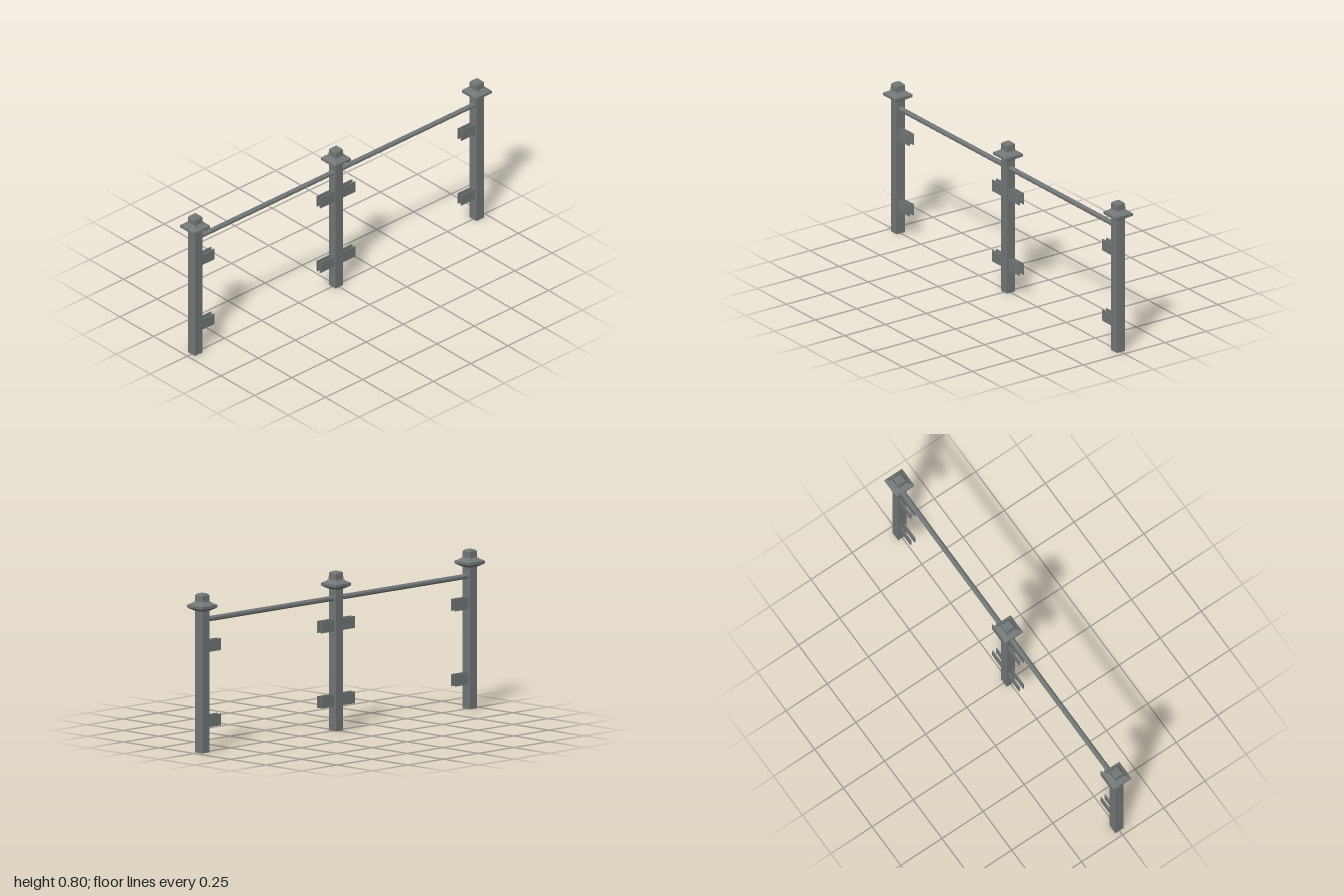
import * as THREE from 'three';

const SPACING = 0.947;

// Flat-faced version of a geometry
function faceted(geometry) {
  const g = geometry.toNonIndexed();
  g.computeVertexNormals();
  return g;
}

// Square turned profile: points are [half width, height], bottom to top
function squareLathe(profile) {
  const points = profile.map(([w, y]) => new THREE.Vector2(w * Math.SQRT2, y));
  return faceted(new THREE.LatheGeometry(points, 4).rotateY(Math.PI / 4));
}

export function createModel() {
  const model = new THREE.Group();
  model.name = 'fenceFrame';
  const metal = new THREE.MeshStandardMaterial({ color: 0x727777 });
  metal.name = 'grey metal';

  function add(parent, name, geometry, x = 0, y = 0, z = 0) {
    const mesh = new THREE.Mesh(geometry, metal);
    mesh.name = name;
    mesh.position.set(x, y, z);
    parent.add(mesh);
  }

  const postGeometry = new THREE.BoxGeometry(0.05, 0.717, 0.05);
  const capGeometry = squareLathe([
    [0, 0.716], [0.027, 0.716], [0.053, 0.732], [0.053, 0.746],
    [0.037, 0.755], [0.026, 0.764], [0.025, 0.795], [0.019, 0.803], [0, 0.803],
  ]);
  const plateGeometry = new THREE.BoxGeometry(0.1, 0.06, 0.006);

  // Posts with flared caps and paired panel clips
  for (const i of [-1, 0, 1]) {
    const post = new THREE.Group();
    post.name = ['rightPost', 'middlePost', 'leftPost'][i + 1];
    post.position.x = i * SPACING;
    add(post, 'postShaft', postGeometry, 0, 0.3585);
    add(post, 'postCap', capGeometry);

    // Clips point only toward the neighbouring posts
    for (const side of [-1, 1]) {
      if (side === i) continue;
      for (const y of [0.155, 0.535]) {
        for (const z of [-0.012, 0.012]) {
          add(post, 'clipPlate', plateGeometry, side * 0.068, y, z);
        }
      }
    }
    model.add(post);
  }

  // Eight-sided top rails between the posts
  const railGeometry = faceted(
    new THREE.CylinderGeometry(0.0135, 0.0135, SPACING - 0.046, 8)
      .rotateY(Math.PI / 8)
      .rotateZ(Math.PI / 2),
  );
  for (const side of [-1, 1]) {
    add(model, side < 0 ? 'rightRail' : 'leftRail', railGeometry, side * SPACING / 2, 0.67);
  }

  return model;
}
